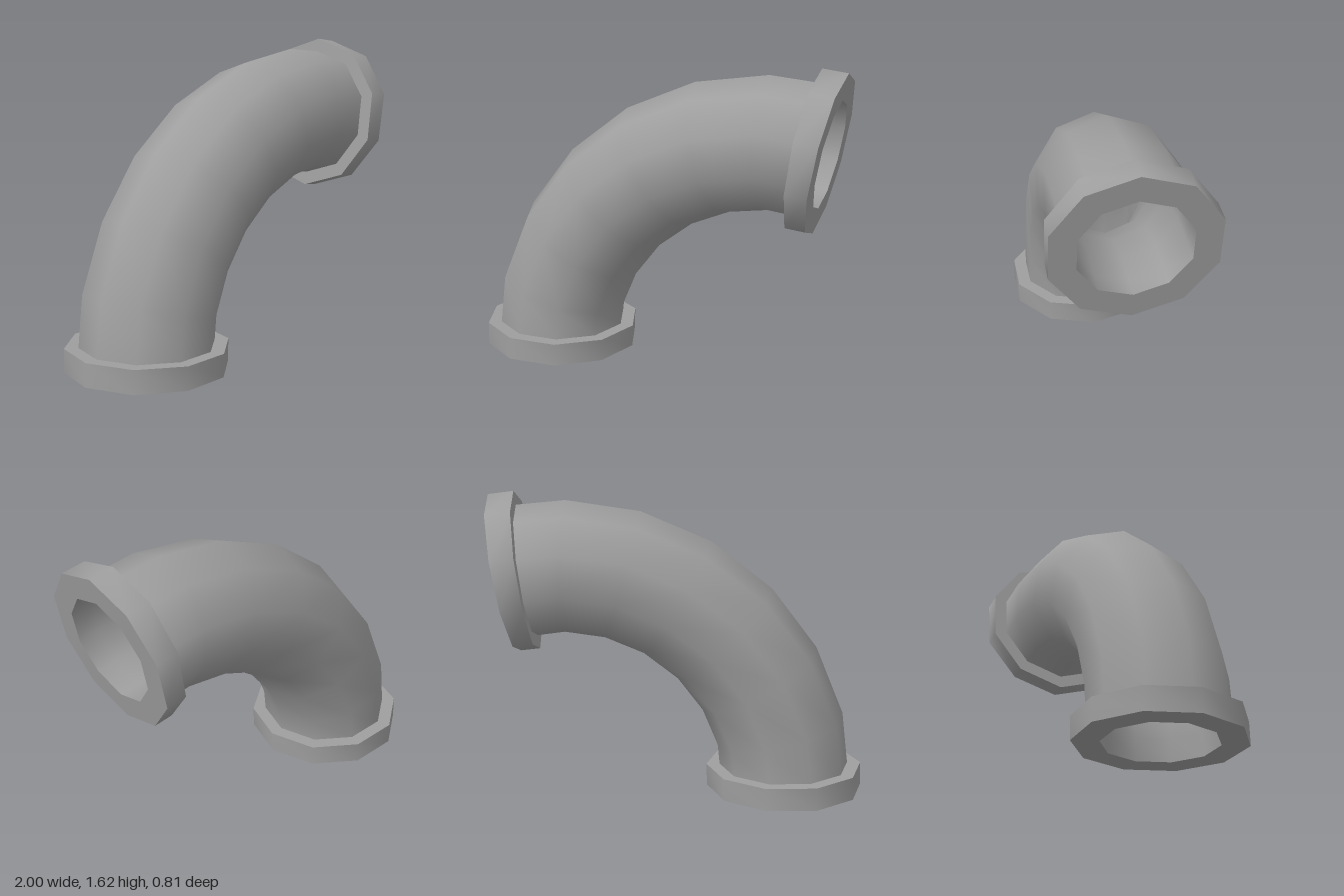
import * as THREE from 'three';

const SIDES = 10;
const PIPE = 0.352, FLANGE = 0.425, BORE = 0.287;

// Stations along the bend: centre x, centre y, tilt in degrees
const path = [
  [-0.575, 0, 0],
  [-0.571, 0.122, 0.3],
  [-0.548, 0.32, 14.7],
  [-0.43, 0.605, 29.7],
  [-0.24, 0.855, 44.4],
  [0.013, 1.052, 59],
  [0.304, 1.176, 74],
  [0.607, 1.221, 88.8],
  [0.808, 1.2, 97.8],
  [0.925, 1.186, 100.1],
];
const LAST = path.length - 1;

// Smooth ten-sided skin through [station, radius] rings; the order sets the facing
function loft(rings) {
  const positions = [], index = [];
  rings.forEach(([station, radius], i) => {
    const [cx, cy, degrees] = path[station];
    const tilt = THREE.MathUtils.degToRad(degrees);
    for (let j = 0; j < SIDES; j++) {
      const t = (j / SIDES) * Math.PI * 2;
      const out = radius * Math.cos(t);
      positions.push(cx - out * Math.cos(tilt), cy + out * Math.sin(tilt), radius * Math.sin(t));
      if (i === rings.length - 1) continue;
      const a = i * SIDES + j, b = i * SIDES + (j + 1) % SIDES;
      index.push(a, b, a + SIDES, b, b + SIDES, a + SIDES);
    }
  });
  const geometry = new THREE.BufferGeometry();
  geometry.setAttribute('position', new THREE.Float32BufferAttribute(positions, 3));
  geometry.setIndex(index);
  geometry.computeVertexNormals();
  return geometry;
}

export function createModel() {
  const model = new THREE.Group();
  model.name = 'pipeElbow';
  const material = new THREE.MeshStandardMaterial({ color: 0x9e9e9e });

  const add = (parent, name, rings) => {
    const mesh = new THREE.Mesh(loft(rings), material);
    mesh.name = name;
    parent.add(mesh);
  };

  // Curved pipe wall and the bore through the whole fitting
  const stations = path.map((_, i) => i);
  add(model, 'pipeWall', stations.slice(1, LAST).map(i => [i, PIPE]));
  add(model, 'bore', stations.slice().reverse().map(i => [i, BORE]));

  // Flange collars: separate faces keep their edges sharp
  const addFlange = (name, start, end, startHole, endHole) => {
    const flange = new THREE.Group();
    flange.name = name;
    add(flange, name + 'StartFace', [[start, startHole], [start, FLANGE]]);
    add(flange, name + 'Rim', [[start, FLANGE], [end, FLANGE]]);
    add(flange, name + 'EndFace', [[end, FLANGE], [end, endHole]]);
    model.add(flange);
  };
  addFlange('bottomFlange', 0, 1, BORE, PIPE);
  addFlange('sideFlange', LAST - 1, LAST, PIPE, BORE);

  return model;
}
